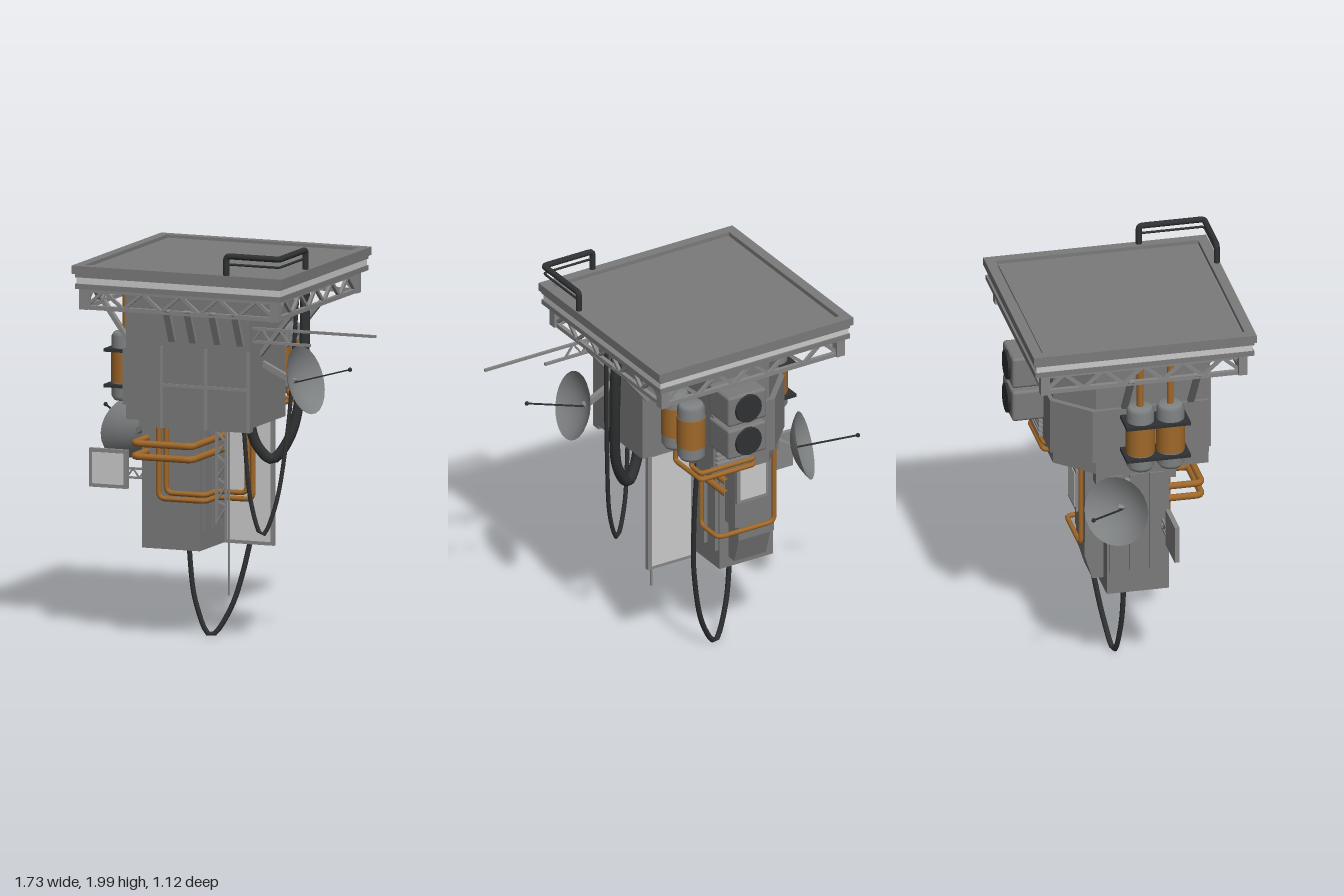
import * as THREE from 'three';
import { RoundedBoxGeometry } from 'three/addons/geometries/RoundedBoxGeometry.js';

const mat = (name, color, double) => {
  const m = new THREE.MeshStandardMaterial({ color });
  m.name = name;
  if (double) m.side = THREE.DoubleSide;
  return m;
};
const V = (p) => new THREE.Vector3(...p);

export function createModel() {
  const hull = mat('hull grey', 0x7a7a7a);
  const trim = mat('truss grey', 0x868686);
  const steel = mat('steel grey', 0x7f8283, true);
  const light = mat('light panel', 0xcacaca);
  const copper = mat('copper', 0xa0682a);
  const dark = mat('black rubber', 0x2f3132);

  const root = new THREE.Group();
  let parent = root;
  const section = (name) => {
    parent = new THREE.Group();
    parent.name = name;
    root.add(parent);
  };
  const add = (name, geo, m) => {
    const mesh = new THREE.Mesh(geo, m);
    mesh.name = name;
    parent.add(mesh);
    return mesh;
  };
  // box from its limits on each axis
  const box = (name, m, x0, x1, y0, y1, z0, z1) =>
    add(name, new THREE.BoxGeometry(x1 - x0, y1 - y0, z1 - z0), m)
      .position.set((x0 + x1) / 2, (y0 + y1) / 2, (z0 + z1) / 2);
  // square bar between two points
  const bar = (name, m, a, b, w, d = w) => {
    const p = V(a), q = V(b);
    const mesh = add(name, new THREE.BoxGeometry(w, d, p.distanceTo(q)), m);
    mesh.position.copy(p).add(q).multiplyScalar(0.5);
    mesh.lookAt(q);
  };
  const cyl = (name, m, r, x, y0, y1, z, sides = 20) =>
    add(name, new THREE.CylinderGeometry(r, r, y1 - y0, sides), m).position.set(x, (y0 + y1) / 2, z);
  const cable = (name, r, pts) =>
    add(name, new THREE.TubeGeometry(new THREE.CatmullRomCurve3(pts.map(V)), 48, r, 8), dark);
  // pipe with straight runs and rounded elbows
  const pipe = (name, m, r, pts, bend = 0.035) => {
    const path = new THREE.CurvePath();
    const p = pts.map(V);
    let from = p[0];
    for (let i = 1; i < p.length; i++) {
      if (i === p.length - 1) { path.add(new THREE.LineCurve3(from, p[i])); break; }
      const a = p[i].clone().add(p[i - 1].clone().sub(p[i]).setLength(bend));
      const b = p[i].clone().add(p[i + 1].clone().sub(p[i]).setLength(bend));
      path.add(new THREE.LineCurve3(from, a));
      path.add(new THREE.QuadraticBezierCurve3(a, p[i], b));
      from = b;
    }
    add(name, new THREE.TubeGeometry(path, 90, r, 10), m);
  };
  // zigzag lattice between two parallel chords
  const lattice = (name, a0, a1, b0, b1, n, w) => {
    bar(name + 'Chord', trim, a0, a1, w);
    bar(name + 'Chord', trim, b0, b1, w);
    for (let i = 0; i < n; i++) {
      const at = (k) => {
        const [s, e] = k % 2 ? [a0, a1] : [b0, b1];
        return V(s).lerp(V(e), k / n).toArray();
      };
      bar(name + 'Brace', trim, at(i), at(i + 1), w * 0.75);
    }
  };

  section('platform');
  box('lowerSlab', hull, -0.657, 0.427, 1.775, 1.8, -0.545, 0.545);
  box('lightBand', light, -0.652, 0.422, 1.8, 1.832, -0.537, 0.537);
  box('upperSlab', hull, -0.657, 0.427, 1.832, 1.852, -0.545, 0.545);
  box('deck', hull, -0.61, 0.38, 1.85, 1.877, -0.495, 0.495);
  box('deckGroove', steel, -0.63, 0.4, 1.85, 1.868, -0.515, 0.515);
  for (const s of [-1, 1]) {
    box('rimLong', hull, -0.67, 0.44, 1.85, 1.89, s > 0 ? 0.505 : -0.555, s > 0 ? 0.555 : -0.505);
    const x = -0.115 + s * 0.53;
    box('rimSide', hull, x - 0.025, x + 0.025, 1.85, 1.89, -0.505, 0.505);
  }

  section('platformTruss');
  const X0 = -0.625, X1 = 0.38, Z = 0.492;
  for (const s of [-1, 1]) {
    lattice('truss', [X0, 1.765, s * Z], [X1, 1.765, s * Z], [X0, 1.68, s * Z], [X1, 1.68, s * Z], 10, 0.021);
    const x = s > 0 ? X1 : X0;
    lattice('truss', [x, 1.765, -Z], [x, 1.765, Z], [x, 1.68, -Z], [x, 1.68, Z], 10, 0.021);
    for (const t of [-1, 1]) {
      const z = t * Z;
      box('trussCorner', trim, x - 0.022, x + 0.022, 1.67, 1.775, z - 0.022, z + 0.022);
    }
  }
  // sloping supports from the hull to the truss
  for (const x of [-0.195, -0.085, 0.045, 0.165]) bar('strut', trim, [x, 1.53, 0.42], [x, 1.69, 0.495], 0.034, 0.02);
  for (const z of [0.27, -0.06]) {
    bar('strut', trim, [0.2, 1.46, z], [0.385, 1.69, z], 0.03, 0.02);
    bar('strut', trim, [-0.46, 1.45, z], [-0.63, 1.69, z], 0.03, 0.02);
  }

  section('hull');
  box('frontBlock', hull, -0.26, 0.21, 1.12, 1.777, -0.03, 0.375);
  box('frontPlate', hull, -0.26, 0.21, 1.1, 1.75, 0.37, 0.415);
  // rear block with a chamfered corner, and a slightly wider belt around it
  const rear = (name, y0, y1, g) => {
    const s = new THREE.Shape([[0.03, 0.36], [-0.465 - g, 0.36], [-0.465 - g, -0.2 - g], [-0.3 - g, -0.375 - g], [0.03, -0.375 - g]]
      .map(([x, z]) => new THREE.Vector2(x, -z)));
    const m = add(name, new THREE.ExtrudeGeometry(s, { depth: y1 - y0, bevelEnabled: false }), hull);
    m.rotation.x = -Math.PI / 2;
    m.position.y = y0;
  };
  rear('rearBlock', 1.12, 1.777, 0);
  rear('rearBelt', 1.19, 1.47, 0.02);
  box('plateRib', trim, -0.26, 0.21, 1.303, 1.318, 0.41, 0.421);
  for (const x of [-0.253, -0.02, 0.203]) box('plateRib', trim, x - 0.007, x + 0.007, 1.1, 1.5, 0.41, 0.421);

  section('column');
  box('columnBody', hull, -0.465, -0.16, 0.46, 1.2, -0.145, 0.165);
  box('columnHead', hull, -0.465, -0.2, 1.06, 1.13, -0.2, 0.2);
  box('backBox', hull, -0.4, -0.19, 0.72, 1.13, -0.24, -0.14);
  const hatch = new THREE.Shape([[0.14, 0.515], [0.2, 0.515], [0.24, 0.645], [0.24, 0.72], [0.14, 0.75]]
    .map((p) => new THREE.Vector2(...p)));
  const h = add('slopedHatch', new THREE.ExtrudeGeometry(hatch, { depth: 0.18, bevelEnabled: false }), hull);
  h.rotation.y = Math.PI / 2;
  h.position.x = -0.39;
  for (const z of [-0.1, 0.0, 0.1]) {
    box('sidePlate', hull, -0.477, -0.46, 0.58, 1.1, z - 0.035, z + 0.035);
    box('sidePlate', hull, -0.165, -0.14, 0.56, 1.1, z - 0.035, z + 0.035);
  }

  // framed bright panels
  const panel = (name, x0, x1, y0, y1, z, faces) => {
    section(name);
    box('frame', trim, x0, x1, y0, y1, z - 0.012, z + 0.012);
    for (const s of faces) {
      const c = z + s * 0.013;
      box('brightFace', light, x0 + 0.018, x1 - 0.018, y0 + 0.018, y1 - 0.018, c - 0.003, c + 0.003);
    }
  };
  panel('hangingPanel', -0.095, 0.165, 0.485, 1.12, 0, [-1, 1]);
  panel('sidePanel', -0.75, -0.55, 0.74, 0.93, 0.14, [1]);
  lattice('sidePanelArm', [-0.56, 0.84, 0.13], [-0.46, 0.84, 0.13], [-0.56, 0.795, 0.13], [-0.46, 0.795, 0.13], 3, 0.01);
  panel('backPanel', -0.36, -0.18, 0.87, 1.09, -0.262, [-1]);

  section('tanks');
  const tank = (x, z, y0, y1, r) => {
    const c = (y0 + y1) / 2, hh = (y1 - y0) / 2;
    const prof = [[0, -hh], [r * 0.8, -hh], [r, -hh + 0.02], [r, hh - 0.02], [r * 0.8, hh], [0, hh]];
    add('tankShell', new THREE.LatheGeometry(prof.map((p) => new THREE.Vector2(...p)), 20), steel).position.set(x, c, z);
    cyl('tankBand', copper, r + 0.003, x, c - 0.078, c + 0.078, z);
  };
  for (const z of [-0.165, -0.31]) tank(0.105, z, 1.23, 1.53, 0.068);
  for (const z of [0.0, 0.15]) {
    tank(-0.558, z, 1.18, 1.515, 0.068);
    cyl('tankRiser', copper, 0.017, -0.555, 1.5, 1.775, z, 10);
  }
  for (const y of [1.255, 1.43]) box('tankClamp', dark, -0.638, -0.48, y - 0.008, y + 0.008, -0.085, 0.235);

  section('fans');
  for (const y of [1.56, 1.38]) {
    const b = add('fanBox', new RoundedBoxGeometry(0.22, 0.162, 0.19, 2, 0.015), hull);
    b.position.set(-0.07, y, -0.455);
    const f = add('fanDisc', new THREE.CylinderGeometry(0.072, 0.076, 0.02, 24), dark);
    f.rotation.x = -Math.PI / 2;
    f.position.set(-0.07, y, -0.552);
  }
  for (let i = 0; i < 4; i++) box('louvre', trim, -0.17, 0.02, 1.2 + i * 0.025, 1.212 + i * 0.025, -0.415, -0.37);

  section('pipes');
  for (const y of [0.935, 1.0])
    pipe('wrapPipe', copper, 0.017, [[-0.44, y, 0.15], [-0.44, y, 0.335], [-0.13, y, 0.335], [-0.13, y, -0.26]]);
  [[-0.37, 0.71, 0.065], [-0.33, 0.74, 0.035]].forEach(([x, y, end]) =>
    pipe('frontPipe', copper, 0.013, [[x, 1.08, 0.18], [x, y, 0.18], [-0.125, y, 0.18], [-0.125, y, 0.035], [end, y, 0.035], [end, 1.13, 0.035]]));
  pipe('backPipe', copper, 0.012, [[-0.08, 1.13, -0.105], [-0.08, 0.71, -0.105], [-0.08, 0.71, -0.26], [-0.4, 0.71, -0.26], [-0.4, 1.13, -0.26]]);
  [[-0.165, 1.145], [-0.31, 1.18]].forEach(([z, y]) =>
    pipe('tankPipe', copper, 0.012, [[0.105, 1.25, z], [0.105, y, z], [0.105, y, -0.4], [-0.2, y, -0.4], [-0.2, y, -0.36]], 0.02));

  section('cables');
  cable('thickCable', 0.027, [[0.33, 1.77, 0.01], [0.33, 1.4, 0.03], [0.285, 1.05, 0.08], [0.2, 0.93, 0.115], [0.135, 1.0, 0.15], [0.1, 1.13, 0.17]]);
  cable('thinCable', 0.011, [[0.33, 1.72, 0.11], [0.3, 1.1, 0.15], [0.25, 0.7, 0.2], [0.195, 0.57, 0.225], [0.145, 0.72, 0.24], [0.11, 1.13, 0.26]]);
  cable('loopCable', 0.013, [[-0.3, 0.5, -0.02], [-0.265, 0.18, -0.03], [-0.195, 0.015, -0.05], [-0.105, 0.14, -0.08], [-0.02, 0.48, -0.135], [0.01, 0.8, -0.185], [0.02, 1.14, -0.23]]);

  // dishes: rim centre, feed tip, and the foot of the arm
  const dish = (name, c, tip, foot) => {
    section(name);
    const axis = V(tip).sub(V(c)).normalize();
    const prof = [];
    for (let i = 0; i <= 6; i++) prof.push(new THREE.Vector2(0.17 * i / 6, 0.065 * ((i / 6) ** 2 - 1)));
    const bowl = add('bowl', new THREE.LatheGeometry(prof, 24), steel);
    bowl.position.copy(V(c));
    bowl.quaternion.setFromUnitVectors(new THREE.Vector3(0, 1, 0), axis);
    const back = V(c).addScaledVector(axis, -0.06).toArray();
    bar('feedRod', dark, back, tip, 0.007);
    add('feedTip', new THREE.SphereGeometry(0.011, 8, 6), dark).position.copy(V(tip));
    bar('arm', trim, back, foot, 0.028);
  };
  dish('rightDish', [0.435, 1.352, 0.248], [0.68, 1.422, 0.275], [0.2, 1.42, 0.24]);
  dish('leftDish', [-0.65, 1.0, -0.14], [-0.855, 1.072, -0.3], [-0.46, 1.07, -0.04]);

  section('antennas');
  bar('longBoom', trim, [0.2, 1.61, 0.375], [0.86, 1.61, 0.375], 0.013);
  bar('shortBoom', trim, [0.2, 1.545, 0.375], [0.515, 1.545, 0.375], 0.013);
  lattice('boomTruss', [0.21, 1.61, 0.375], [0.4, 1.61, 0.375], [0.21, 1.545, 0.375], [0.4, 1.545, 0.375], 4, 0.012);
  lattice('mast', [-0.045, 1.12, 0.225], [-0.045, 0.61, 0.225], [0.005, 1.12, 0.225], [0.005, 0.65, 0.225], 9, 0.012);
  cyl('whip', trim, 0.006, 0.012, 0.26, 1.12, 0.205, 8);

  section('handrail');
  pipe('topRail', dark, 0.015, [[0.14, 1.88, 0.54], [0.14, 1.985, 0.54], [0.42, 1.985, 0.54], [0.42, 1.985, 0.215], [0.42, 1.88, 0.215]], 0.02);
  pipe('midRail', dark, 0.006, [[0.14, 1.945, 0.54], [0.42, 1.945, 0.54], [0.42, 1.945, 0.215]], 0.02);

  return root;
}
